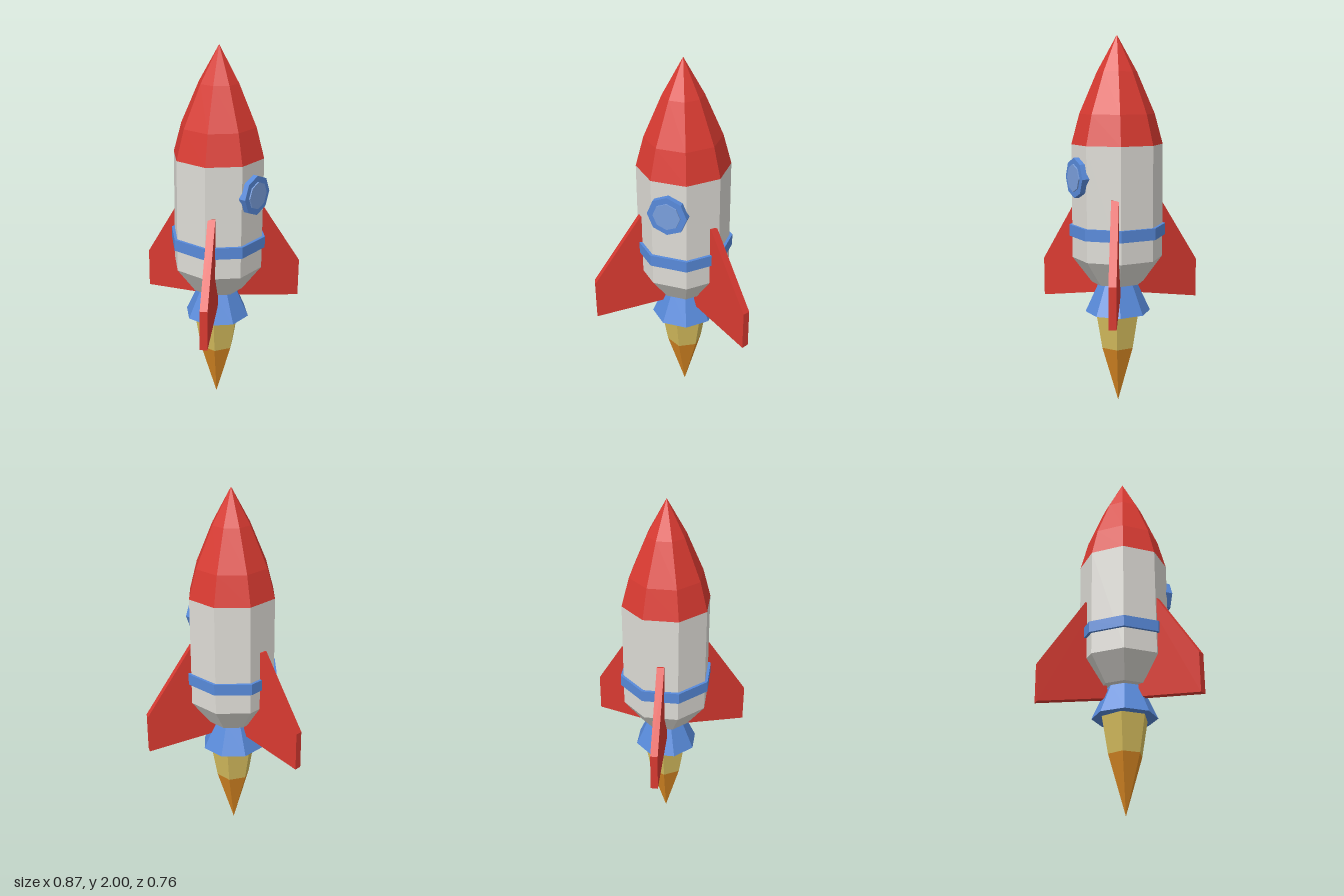
import * as THREE from 'three';

const mat = (name, color) => {
  const m = new THREE.MeshStandardMaterial({ color, flatShading: true });
  m.name = name;
  return m;
};

export function createModel() {
  const red = mat('red', 0xd93a31);
  const white = mat('offWhite', 0xdedcd6);
  const blue = mat('blue', 0x588ada);
  const glass = mat('windowBlue', 0x7a9fdd);
  const yellow = mat('flameYellow', 0xd9c05f);
  const orange = mat('flameOrange', 0xdc8a24);

  const model = new THREE.Group();
  model.name = 'rocket';
  const rocket = new THREE.Group();
  rocket.name = 'rocketBody';
  rocket.position.z = 0.114; // the rear fin reaches further back than the front pair
  model.add(rocket);

  const add = (name, geometry, material) => {
    const mesh = new THREE.Mesh(geometry, material);
    mesh.name = name;
    rocket.add(mesh);
    return mesh;
  };

  // Faceted shell from [distance to flat side, y] points listed bottom to top;
  // eight sides have a flat facing front
  const turned = (points) => {
    const k = 1 / Math.cos(Math.PI / 8);
    const profile = points.map(([r, y]) => new THREE.Vector2(r * k, y));
    return new THREE.LatheGeometry(profile, 8, Math.PI / 8);
  };

  // Hull
  add('noseCone', turned([[0, 1.43], [0.226, 1.43], [0.186, 1.59], [0.098, 1.81], [0, 2]]), red);
  add('hull', turned([[0, 0.68], [0.13, 0.68], [0.226, 0.82], [0.226, 1.43]]), white);
  add('band', turned([[0.22, 0.938], [0.241, 0.938], [0.241, 1.0], [0.22, 1.0]]), blue);
  add('nozzle', turned([[0, 0.515], [0.164, 0.515], [0.092, 0.685]]), blue);

  // Six-sided flame
  const flame = (name, top, bottom, y0, y1, material) => {
    const geometry = new THREE.CylinderGeometry(top, bottom, y1 - y0, 6, 1, true);
    add(name, geometry.translate(0, (y0 + y1) / 2, 0), material);
  };
  flame('upperFlame', 0.132, 0.096, 0.315, 0.52, yellow);
  flame('lowerFlame', 0.096, 0, 0, 0.315, orange);

  // Porthole
  const disc = (name, radius, z0, z1, material) => {
    const geometry = new THREE.CylinderGeometry(radius, radius, z1 - z0, 8);
    geometry.rotateX(Math.PI / 2).translate(0, 1.26, (z0 + z1) / 2);
    add(name, geometry, material);
  };
  disc('windowFrame', 0.106, 0.215, 0.255, blue);
  disc('windowGlass', 0.073, 0.254, 0.262, glass);

  // Three fins, drawn in the plane of radius and height
  const outline = [[0.18, 1.155], [0.1, 0.612], [0.492, 0.545], [0.492, 0.762], [0.235, 1.155]];
  const shape = new THREE.Shape(outline.map(([r, y]) => new THREE.Vector2(r, y)));
  const finGeometry = new THREE.ExtrudeGeometry(shape, { depth: 0.04, bevelEnabled: false });
  finGeometry.translate(0, 0, -0.02);
  ['rearFin', 'leftFin', 'rightFin'].forEach((name, i) => {
    add(name, finGeometry, red).rotation.y = Math.PI / 2 + (i * Math.PI * 4) / 3;
  });

  return model;
}
